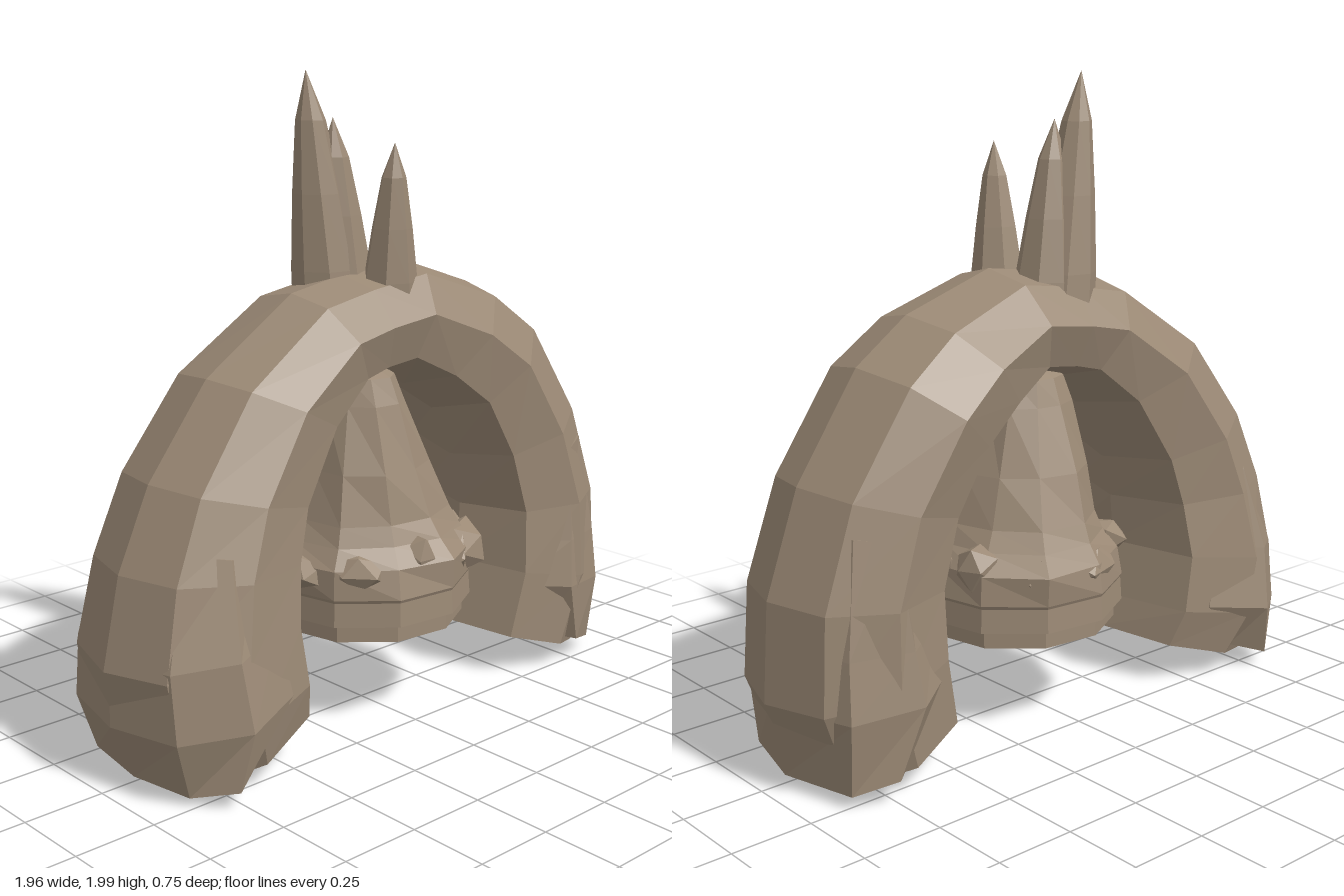
import * as THREE from 'three';

const stone = new THREE.MeshStandardMaterial({ color: 0x9c8a76 });
stone.name = 'weathered brown';

// Faceted mesh: unshared vertices give every face its own normal
function faceted(name, geometry, parent) {
  const g = geometry.index ? geometry.toNonIndexed() : geometry;
  g.computeVertexNormals();
  const mesh = new THREE.Mesh(g, stone);
  mesh.name = name;
  parent.add(mesh);
  return mesh;
}

// Octagonal section: [share of the way from outer to inner edge, share of depth]
const OCTAGON = [[0, 0], [0.1, 0.66], [0.44, 1], [0.84, 0.8], [1, 0], [0.84, -0.8], [0.44, -1], [0.1, -0.66]];

// Closed sweep through sections [outerX, outerY, innerX, innerY, frontDepth, backDepth]
function sweep(sections) {
  const pos = [], idx = [], n = OCTAGON.length;
  for (const [ox, oy, ix, iy, front, back] of sections) {
    for (const [t, s] of OCTAGON) {
      pos.push(ox + (ix - ox) * t, oy + (iy - oy) * t, s > 0 ? s * front : s * back);
    }
  }
  const last = (sections.length - 1) * n;
  for (let i = 0; i < last; i += n) {
    for (let j = 0; j < n; j++) {
      const k = (j + 1) % n;
      idx.push(i + j, i + k, i + n + k, i + j, i + n + k, i + n + j);
    }
  }
  for (let j = 1; j < n - 1; j++) idx.push(0, j + 1, j, last, last + j, last + j + 1);
  const g = new THREE.BufferGeometry();
  g.setAttribute('position', new THREE.Float32BufferAttribute(pos, 3));
  g.setIndex(idx);
  return g;
}

// Move each vertex by a rule
function warp(geometry, rule) {
  const p = geometry.attributes.position, v = new THREE.Vector3();
  for (let i = 0; i < p.count; i++) {
    rule(v.fromBufferAttribute(p, i));
    p.setXYZ(i, v.x, v.y, v.z);
  }
  return geometry;
}

// Irregular rock lump
function lump(name, parent, [x, y, z], [sx, sy, sz], turn, seed) {
  const g = warp(new THREE.IcosahedronGeometry(1, 0), (v) => {
    v.multiplyScalar(0.92 + 0.14 * Math.sin(7 * v.x + 11 * v.y + 5 * v.z + seed));
  });
  g.scale(sx, sy, sz);
  const mesh = faceted(name, g, parent);
  mesh.position.set(x, y, z);
  mesh.rotation.y = turn;
}

// Leaning faceted spike from base centre to tip
function spike(name, parent, base, tip, radius, sides, turn) {
  const b = new THREE.Vector3(...base), t = new THREE.Vector3(...tip);
  const profile = [[0, 0], [1, 0], [0.94, 0.15], [0.7, 0.48], [0.42, 0.79], [0, 1]];
  const g = new THREE.LatheGeometry(profile.map(([r, h]) => new THREE.Vector2(r * radius, h)), sides, turn);
  warp(g, (v) => {
    const h = v.y;
    v.x += b.x + (t.x - b.x) * h;
    v.z += b.z + (t.z - b.z) * h;
    v.y = b.y + (t.y - b.y) * h;
  });
  faceted(name, g, parent);
}

export function createModel() {
  const model = new THREE.Group();
  model.name = 'rockArch';

  // Main arch, from the right foot over the top to the left foot
  faceted('arch', sweep([
    [-0.86, 0.01, -0.34, 0.17, 0.29, 0.29],
    [-0.95, 0.18, -0.36, 0.28, 0.34, 0.34],
    [-0.98, 0.37, -0.385, 0.46, 0.33, 0.34],
    [-0.92, 0.64, -0.37, 0.62, 0.3, 0.31],
    [-0.81, 0.88, -0.33, 0.76, 0.27, 0.3],
    [-0.6, 1.15, -0.21, 0.96, 0.24, 0.28],
    [-0.28, 1.36, -0.1, 1.06, 0.215, 0.25],
    [-0.08, 1.395, -0.03, 1.08, 0.21, 0.24],
    [0.15, 1.425, 0.06, 1.09, 0.215, 0.24],
    [0.46, 1.32, 0.18, 1.02, 0.24, 0.29],
    [0.64, 1.19, 0.31, 0.92, 0.26, 0.32],
    [0.85, 0.88, 0.4, 0.75, 0.27, 0.31],
    [0.96, 0.57, 0.45, 0.57, 0.28, 0.32],
    [0.98, 0.27, 0.44, 0.38, 0.29, 0.33],
    [0.88, 0.02, 0.4, 0.17, 0.27, 0.3],
  ]), model);

  // Overlapping outer slabs on the two feet
  faceted('rightFootSlab', sweep([
    [-0.89, 0.025, -0.63, 0.11, 0.35, 0.34],
    [-0.965, 0.2, -0.46, 0.28, 0.375, 0.375],
    [-0.96, 0.4, -0.5, 0.48, 0.34, 0.34],
    [-0.85, 0.72, -0.56, 0.68, 0.26, 0.27],
  ]), model);
  faceted('leftFootSlab', sweep([
    [0.86, 0.78, 0.6, 0.74, 0.25, 0.28],
    [0.94, 0.44, 0.5, 0.46, 0.285, 0.33],
    [0.965, 0.26, 0.46, 0.32, 0.3, 0.36],
    [0.92, 0.035, 0.62, 0.12, 0.27, 0.33],
  ].reverse().map(([a, b, c, d, f, r]) => [c, d, a, b, f, r])), model);

  // Hollow bell-shaped core hanging below the arch
  const core = new THREE.Group();
  core.name = 'core';
  core.position.x = 0.03;
  model.add(core);
  const bell = [
    [0, 0.44], [0.27, 0.43], [0.28, 0.3], [0.305, 0.3], [0.305, 0.355], [0.33, 0.355], [0.325, 0.43],
    [0.33, 0.44], [0.325, 0.53], [0.28, 0.59], [0.25, 0.65], [0.205, 0.8], [0.14, 1.0], [0.11, 1.08], [0, 1.13],
  ];
  faceted('bell', warp(
    new THREE.LatheGeometry(bell.map(([r, y]) => new THREE.Vector2(r, y)), 10, 0.2),
    (v) => {
      const a = Math.atan2(v.z, v.x);
      const k = v.y > 0.5 ? 1 + 0.05 * Math.sin(3 * a + 9 * v.y) : 1;
      const lean = Math.max(0, v.y - 0.6) * 0.07;
      v.x = v.x * k - lean;
      v.z *= k * 0.97;
    }), core);

  // Broken lumps around the rim
  for (let i = 0; i < 9; i++) {
    const a = i * Math.PI * 2 / 9 + 0.25;
    const w = 0.1 + 0.03 * Math.sin(i * 2.3);
    lump('rimLump', core, [0.285 * Math.cos(a), 0.52 + 0.025 * Math.sin(i * 4.1), 0.24 * Math.sin(a)],
      [0.08, 0.075, w], -a, i);
  }
  lump('largeRimLump', core, [0.23, 0.51, 0.18], [0.15, 0.085, 0.1], 0.5, 2);

  // Three spikes on the crown
  spike('tallSpike', model, [-0.06, 1.3, -0.085], [-0.14, 2.0, -0.09], 0.11, 8, 0.2);
  spike('middleSpike', model, [-0.015, 1.3, -0.07], [-0.06, 1.86, -0.06], 0.105, 8, 0.6);
  spike('frontSpike', model, [0.045, 1.3, 0.075], [0.025, 1.79, 0.12], 0.09, 7, 0.9);

  return model;
}
